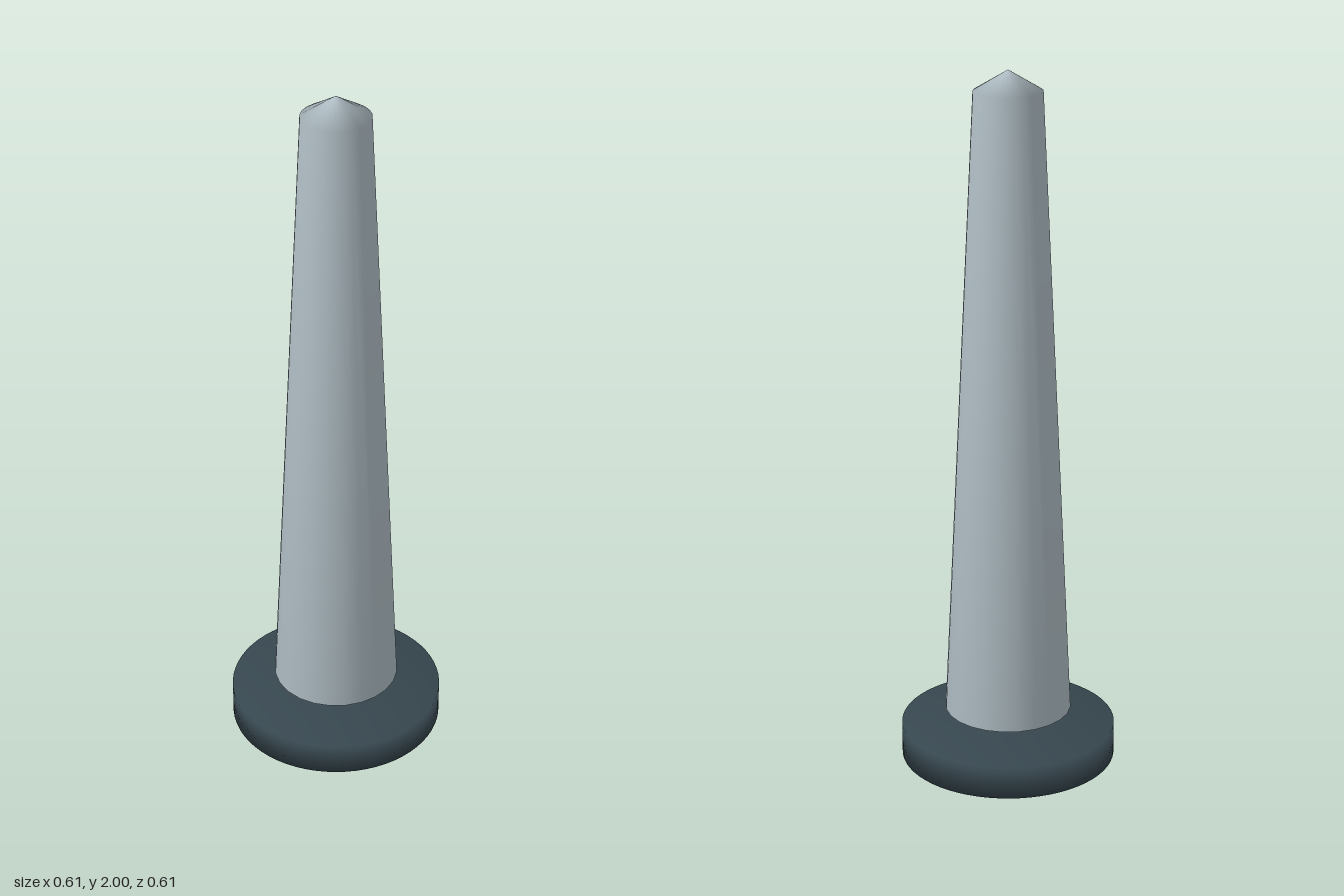
import * as THREE from 'three';

// Turned solid from a bottom-to-top profile of [radius, height] points
function turned(name, profile, segments, material) {
  const points = profile.map(([r, y]) => new THREE.Vector2(r, y));
  const mesh = new THREE.Mesh(new THREE.LatheGeometry(points, segments), material);
  mesh.name = name;
  return mesh;
}

export function createModel() {
  const paleSteel = new THREE.MeshStandardMaterial({ color: 0xb0bec5 });
  paleSteel.name = 'pale steel';
  const darkSlate = new THREE.MeshStandardMaterial({ color: 0x37474f });
  darkSlate.name = 'dark slate';

  const group = new THREE.Group();
  group.name = 'taperedColumn';

  // Flat round base with softly shaded rim
  group.add(turned('base', [[0, 0], [0.307, 0], [0.307, 0.095], [0, 0.095]], 64, darkSlate));

  // Tapered shaft, conical at both ends, its lower point resting in the base
  group.add(turned('shaft', [[0, 0.085], [0.181, 0.143], [0.095, 1.943], [0, 2]], 24, paleSteel));

  return group;
}
